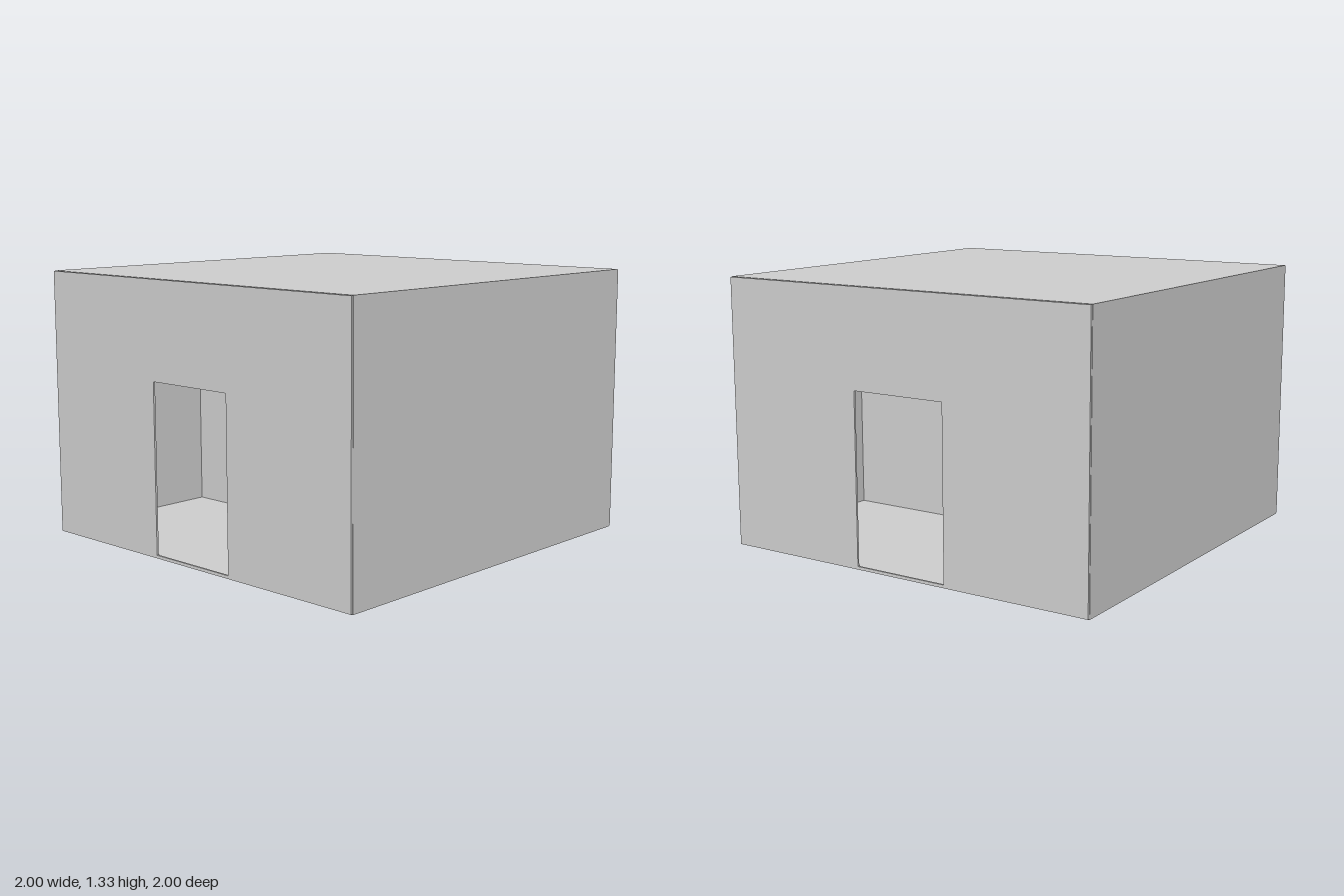
import * as THREE from 'three';

// Closed polygon from a short list of [x, y] points
function polygon(points, Type = THREE.Shape) {
  const p = new Type();
  points.forEach(([x, y], i) => (i ? p.lineTo(x, y) : p.moveTo(x, y)));
  p.closePath();
  return p;
}

const rect = (x, y0, y1) => [[-x, y0], [x, y0], [x, y1], [-x, y1]];

export function createModel() {
  const model = new THREE.Group();
  model.name = 'vaultedRoom';
  const grey = new THREE.MeshStandardMaterial({ color: 0xcccccc });
  grey.name = 'plain grey';

  // Flat outline with one hole, given a thickness along z and centred at z
  function slab(name, outline, hole, depth, z) {
    const shape = polygon(outline);
    if (hole) shape.holes.push(polygon(hole, THREE.Path));
    const geometry = new THREE.ExtrudeGeometry(shape, { depth, bevelEnabled: false });
    geometry.translate(0, 0, z - depth / 2);
    const mesh = new THREE.Mesh(geometry, grey);
    mesh.name = name;
    model.add(mesh);
  }

  // Inside cross-section: upright walls, sloping shoulders, flat ceiling
  const inside = [
    [-0.99, 0.015], [0.99, 0.015], [0.99, 0.855],
    [0.543, 1.32], [-0.543, 1.32], [-0.99, 0.855],
  ];

  // Floor, side walls, vault and roof
  slab('shell', rect(1, 0, 1.333), inside, 1.98, 0);

  // Partition across the middle, with a slightly smaller doorway
  slab('partition', inside, rect(0.243, 0.02, 0.83), 0.11, 0);

  for (const side of [1, -1]) {
    // Thin end wall with its doorway
    slab(side > 0 ? 'frontWall' : 'backWall', rect(0.998, 0.003, 1.331),
      rect(0.248, 0.018, 0.853), 0.01, side * 0.995);

    // Shallow band along the top of the partition
    slab(side > 0 ? 'frontBand' : 'backBand',
      [[-0.668, 1.19], [0.668, 1.19], [0.543, 1.32], [-0.543, 1.32]],
      null, 0.012, side * 0.061);
  }
  return model;
}
